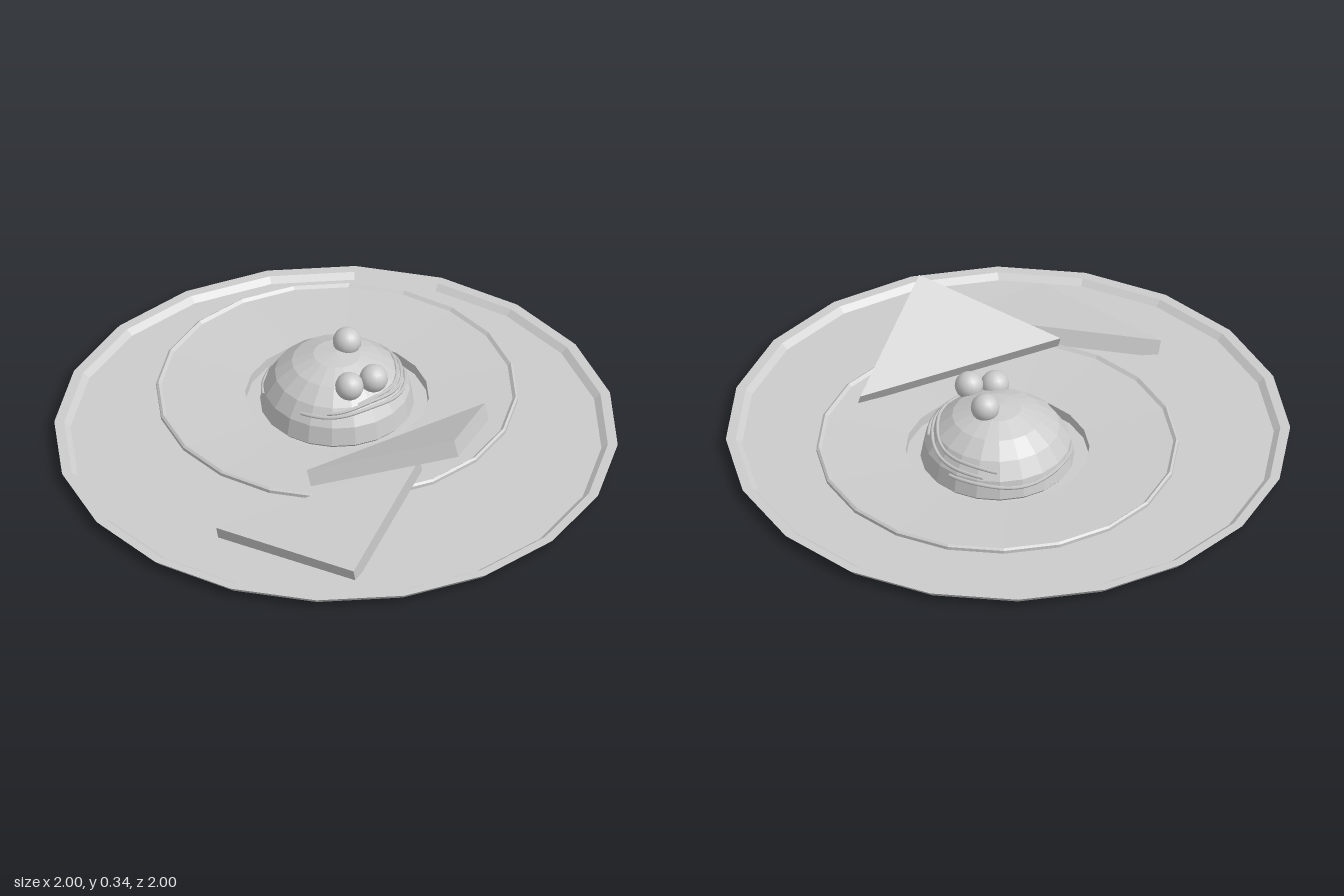
import * as THREE from 'three';

const flat = new THREE.MeshStandardMaterial({ color: 0xcccccc, flatShading: true });
const smooth = new THREE.MeshStandardMaterial({ color: 0xcccccc });

const CX = 0.043, CZ = -0.157;          // centre of the saucer and dome
const DOME_Y = 0.06, DOME_R = 0.273, DOME_H = 0.216;

function add(parent, name, geometry, material, x = 0, y = 0, z = 0) {
  const mesh = new THREE.Mesh(geometry, material);
  mesh.name = name;
  mesh.position.set(x, y, z);
  parent.add(mesh);
  return mesh;
}

// Turned dish from [radius, height] pairs, 20-sided
function dish(profile) {
  return new THREE.LatheGeometry(profile.map(([r, y]) => new THREE.Vector2(r, y)), 20);
}

// Triangular slice: corner is the right angle, a and b end the legs (anticlockwise from above), all on the top face
function slice(corner, a, b, thickness) {
  const c = new THREE.Vector3(...corner);
  const u = new THREE.Vector3(...a).sub(c);
  const v = new THREE.Vector3(...b).sub(c);
  const up = new THREE.Vector3().crossVectors(u, v).normalize();
  const shape = new THREE.Shape([[0, 0], [u.length(), 0], [0, v.length()]].map(p => new THREE.Vector2(...p)));
  const geometry = new THREE.ExtrudeGeometry(shape, { depth: thickness, bevelEnabled: false });
  geometry.translate(0, 0, -thickness);
  return geometry.applyMatrix4(new THREE.Matrix4().makeBasis(u.normalize(), v.normalize(), up).setPosition(c));
}

// Thin strand lying on the dome, its height tilting around the turn
function strand(start, sweep, height, tilt, phase) {
  const points = [];
  for (let i = 0; i <= 24; i++) {
    const a = start + sweep * i / 24;
    const y = height + tilt * Math.cos(a - phase) + 0.004 * Math.sin(a * 5);
    const r = DOME_R * Math.sqrt(1 - ((y - DOME_Y) / DOME_H) ** 2) - 0.002;
    points.push(new THREE.Vector3(r * Math.sin(a), y, r * Math.cos(a)));
  }
  return new THREE.TubeGeometry(new THREE.CatmullRomCurve3(points), 60, 0.007, 5);
}

export function createModel() {
  const model = new THREE.Group();

  // Large plate with a raised rim
  add(model, 'plate', dish([
    [0, 0.008], [0.972, 0.008], [1, 0.036], [0.965, 0.036], [0.942, 0.018], [0, 0.018],
  ]), flat);

  // Saucer with a rolled lip and a straight-sided well
  add(model, 'saucer', dish([
    [0, 0.034], [0.46, 0.034], [0.63, 0.085], [0.642, 0.092], [0.642, 0.104],
    [0.634, 0.11], [0.623, 0.1], [0.326, 0.085], [0.325, 0.048], [0, 0.048],
  ]), flat, CX, 0, CZ);

  // Domed serving with strands wound round it
  const dome = new THREE.SphereGeometry(DOME_R, 20, 10);
  dome.scale(1, DOME_H / DOME_R, 1);
  // Keep the underside above the saucer's base
  const pos = dome.attributes.position;
  for (let i = 0; i < pos.count; i++) pos.setY(i, Math.max(pos.getY(i), -0.015));
  add(model, 'dome', dome, flat, CX, DOME_Y, CZ);

  const strands = new THREE.Group();
  strands.name = 'strands';
  strands.position.set(CX, 0, CZ);
  model.add(strands);
  [
    [-0.4, 3.3, 0.155, 0.03, 0.5],
    [0.1, 3.0, 0.17, 0.025, 0.9],
    [-0.8, 2.4, 0.14, 0.03, 0.3],
    [2.4, 2.2, 0.125, 0.02, 0.4],
  ].forEach(s => add(strands, 'strand', strand(...s), smooth));

  // Berries on the dome
  const berry = new THREE.SphereGeometry(0.051, 16, 12);
  [[0.088, 0.29, -0.19], [0.046, 0.243, 0.012], [0.138, 0.252, -0.002]]
    .forEach(p => add(model, 'berry', berry, smooth, ...p));

  // Two triangular slices leaning on the saucer
  add(model, 'lowerSlice', slice([-0.15, 0.066, 0.855], [0.19, 0.22, 0.462], [-0.56, 0.07, 0.49], 0.066), flat);
  add(model, 'upperSlice', slice([0.295, 0.34, 0.545], [0.52, 0.142, 0.093], [-0.2, 0.175, 0.372], 0.06), flat);

  return model;
}
